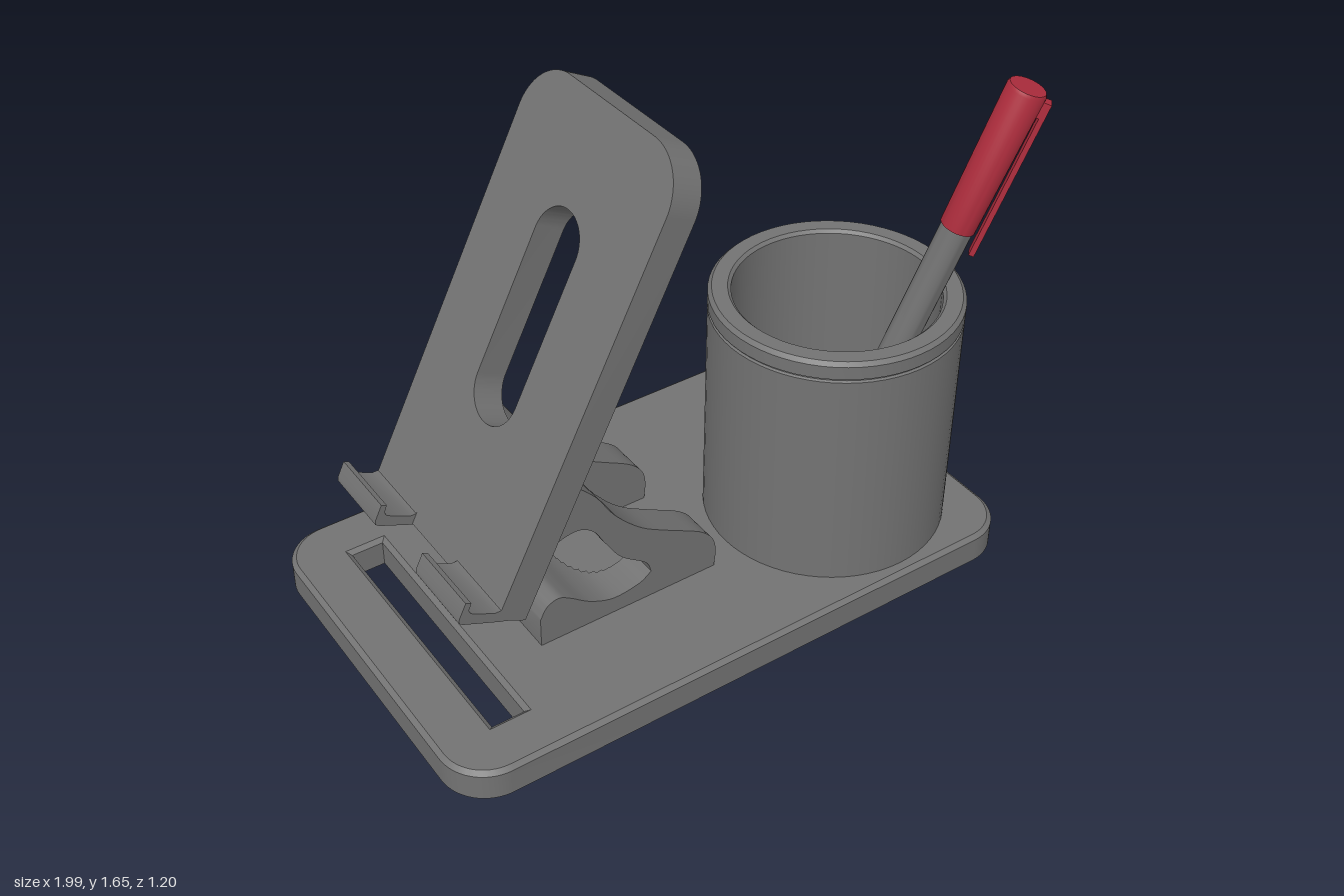
import * as THREE from 'three';
import { toCreasedNormals } from 'three/addons/utils/BufferGeometryUtils.js';

const grey = new THREE.MeshStandardMaterial({ color: 0x737373 });
grey.name = 'grey plastic';
const red = new THREE.MeshStandardMaterial({ color: 0xac2c3c });
red.name = 'red plastic';

const pts = (list) => list.map(([x, y]) => new THREE.Vector2(x, y));
const spline = (list, n = 36) => new THREE.SplineCurve(pts(list)).getPoints(n);

function add(parent, name, geo, mat = grey) {
  const mesh = new THREE.Mesh(toCreasedNormals(geo, 0.6), mat);
  mesh.name = name;
  parent.add(mesh);
  return mesh;
}

// Extrude an x-y outline between two z values
function slab(outline, z0, z1) {
  const geo = new THREE.ExtrudeGeometry(new THREE.Shape(outline), { depth: z1 - z0, bevelEnabled: false });
  return geo.translate(0, 0, z0);
}

// Keep only the part of an outline left of x = c
function clipLeft(outline, c) {
  const out = [];
  outline.forEach((a, i) => {
    const b = outline[(i + 1) % outline.length];
    if (a.x <= c) out.push(a);
    if ((a.x < c && b.x > c) || (a.x > c && b.x < c)) out.push(a.clone().lerp(b, (c - a.x) / (b.x - a.x)));
  });
  return out;
}

// Rectangle with separate bottom and top corner radii
function roundRect(x0, x1, y0, y1, rb, rt, path = new THREE.Shape()) {
  const h = Math.PI / 2;
  path.moveTo(x0 + rb, y0);
  path.lineTo(x1 - rb, y0);
  if (rb) path.absarc(x1 - rb, y0 + rb, rb, -h, 0);
  path.lineTo(x1, y1 - rt);
  if (rt) path.absarc(x1 - rt, y1 - rt, rt, 0, h);
  path.lineTo(x0 + rt, y1);
  if (rt) path.absarc(x0 + rt, y1 - rt, rt, h, 2 * h);
  path.lineTo(x0, y0 + rb);
  if (rb) path.absarc(x0 + rb, y0 + rb, rb, 2 * h, 3 * h);
  return path;
}

function makeBase(parent) {
  const shape = roundRect(-1, 0.985, -0.6, 0.6, 0.15, 0.15);
  shape.holes.push(roundRect(-0.82, -0.715, -0.43, 0.43, 0, 0, new THREE.Path()));
  const geo = new THREE.ExtrudeGeometry(shape, {
    depth: 0.086, bevelThickness: 0.012, bevelSize: 0.015, bevelOffset: -0.015, bevelSegments: 1, curveSegments: 12,
  });
  add(parent, 'base', geo.rotateX(-Math.PI / 2).translate(0, 0.012, 0));
}

function makeCup(parent) {
  const profile = pts([
    [0, 0.1], [0.385, 0.1], [0.385, 0.853], [0.378, 0.857], [0.378, 0.861], [0.385, 0.865],
    [0.385, 0.908], [0.373, 0.92], [0.325, 0.92], [0.315, 0.91], [0.315, 0.17], [0, 0.17],
  ]);
  add(parent, 'cup', new THREE.LatheGeometry(profile, 64)).position.set(0.56, 0, 0.173);
}

function makeStand(parent) {
  const stand = new THREE.Group();
  stand.name = 'stand';
  parent.add(stand);
  const top = spline([[-0.48, 0.705], [-0.42, 0.66], [-0.345, 0.585], [-0.28, 0.485], [-0.19, 0.395],
    [-0.09, 0.335], [0.02, 0.275], [0.07, 0.225], [0.084, 0.17], [0.078, 0.105]]);
  const under = spline([[-0.155, 0.205], [-0.175, 0.25], [-0.26, 0.315], [-0.315, 0.395], [-0.355, 0.46],
    [-0.41, 0.49], [-0.49, 0.475], [-0.62, 0.435]]);
  const foot = spline([[-0.543, 0.21], [-0.52, 0.25], [-0.48, 0.265], [-0.44, 0.245], [-0.37, 0.195],
    [-0.29, 0.166], [-0.2, 0.177], [-0.155, 0.205]]);
  const corner = pts([[-0.543, 0.105]]);

  // Side cheeks with the complete hooked outline
  const side = [...top, ...corner, ...foot, ...under.slice(1)];
  for (const [z0, z1] of [[-0.27, -0.14], [0.13, 0.245]]) add(stand, 'standSide', slab(side, z0, z1));

  // Middle, cut back in a half round to leave an open slot between the cheeks
  const upper = [...top, ...under];
  const lower = [...foot, ...pts([[-0.155, 0.105]]), ...corner];
  const n = 18, r = 0.135;
  for (let i = 0; i < n; i++) {
    const a0 = -Math.cos((i / n) * Math.PI) * r, a1 = -Math.cos(((i + 1) / n) * Math.PI) * r;
    const m = (a0 + a1) / 2;
    const c = -0.215 - Math.sqrt(r * r - m * m);
    add(stand, 'standMiddleTop', slab(clipLeft(upper, c), a0 - 0.005, a1 - 0.005));
    add(stand, 'standMiddleFoot', slab(clipLeft(lower, c), a0 - 0.005, a1 - 0.005));
  }
}

function makeRest(parent) {
  const rest = new THREE.Group();
  rest.name = 'phoneRest';
  parent.add(rest);

  // Sloping back plate with a rounded slot
  const shape = roundRect(-0.365, 0.365, -1.404, 0, 0, 0.16);
  shape.holes.push(roundRect(-0.103, 0.103, -0.98, -0.313, 0.103, 0.103, new THREE.Path()));
  const geo = new THREE.ExtrudeGeometry(shape, { depth: 0.1, bevelEnabled: false, curveSegments: 12 });
  const across = new THREE.Vector3(0, 0, -1);
  const up = new THREE.Vector3(0.449, 0.894, 0).normalize();
  const frame = new THREE.Matrix4().makeBasis(across, up, across.clone().cross(up));
  frame.setPosition(-0.11, 1.655, -0.015);
  add(rest, 'backPlate', geo.applyMatrix4(frame));

  // Pair of hooked lips with a cable gap between them
  const lip = pts([[-0.72, 0.388], [-0.845, 0.443], [-0.857, 0.453], [-0.855, 0.468], [-0.832, 0.515], [-0.815, 0.507],
    [-0.824, 0.485], [-0.82, 0.472], [-0.805, 0.462], [-0.745, 0.432], [-0.725, 0.432], [-0.71, 0.452], [-0.69, 0.45]]);
  for (const [z0, z1] of [[-0.38, -0.14], [0.105, 0.35]]) add(rest, 'lip', slab(lip, z0, z1));
}

function makePen(parent) {
  const pen = new THREE.Group();
  pen.name = 'pen';
  const foot = new THREE.Vector3(0.53, 0.18, 0.215), tip = new THREE.Vector3(0.928, 1.618, 0.483);
  const length = foot.distanceTo(tip);
  pen.position.copy(foot);
  pen.quaternion.setFromUnitVectors(new THREE.Vector3(0, 1, 0), tip.clone().sub(foot).normalize());
  parent.add(pen);

  add(pen, 'penBody', new THREE.CylinderGeometry(0.049, 0.047, length - 0.05, 32).translate(0, (length - 0.05) / 2, 0));
  const cap = pts([[0, 0], [0.051, 0], [0.051, 0.47], [0.058, 0.47]]);
  cap.splice(1, 3, ...pts([[0.053, 0], [0.059, 0.464], [0.054, 0.474], [0, 0.474]]));
  add(pen, 'penCap', new THREE.LatheGeometry(cap, 32).translate(0, length - 0.474, 0), red);

  // Pocket clip, joined at the top of the cap
  const clip = new THREE.Group();
  clip.name = 'penClip';
  clip.rotation.y = Math.PI / 4;
  pen.add(clip);
  add(clip, 'clipArm', new THREE.BoxGeometry(0.036, 0.52, 0.016).translate(0, length - 0.28, 0.071), red);
  add(clip, 'clipBridge', new THREE.BoxGeometry(0.036, 0.05, 0.04).translate(0, length - 0.045, 0.059), red);
}

export function createModel() {
  const model = new THREE.Group();
  model.name = 'deskOrganizer';
  makeBase(model);
  makeCup(model);
  makeStand(model);
  makeRest(model);
  makePen(model);
  return model;
}
